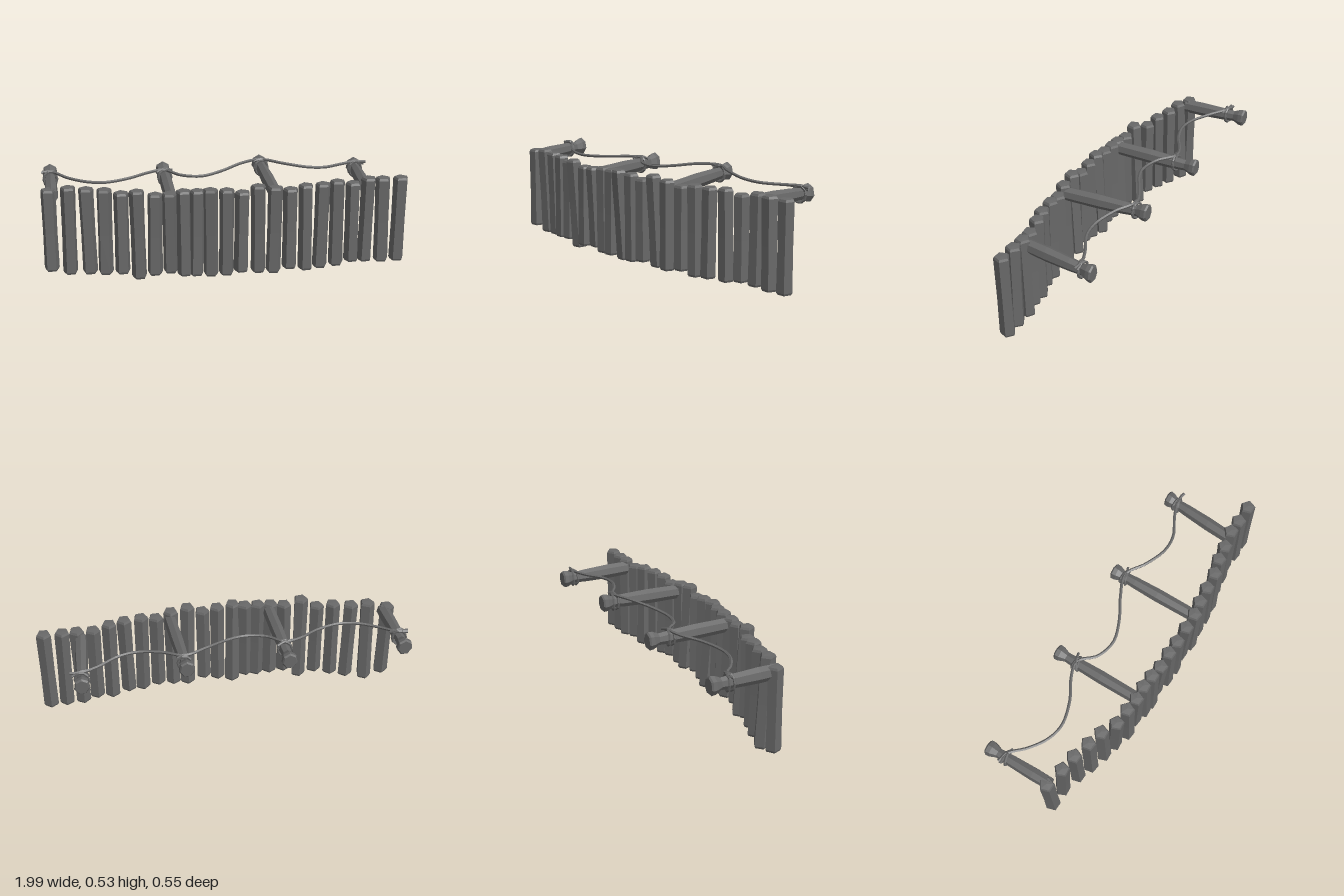
import * as THREE from 'three';

export function createModel() {
  const model = new THREE.Group();
  model.name = 'plankBridge';
  const wood = new THREE.MeshStandardMaterial({ color: 0x686868, flatShading: true });
  wood.name = 'greyWood';

  const add = (geometry, name, parent = model) => {
    const mesh = new THREE.Mesh(geometry, wood);
    mesh.name = name;
    parent.add(mesh);
    return mesh;
  };
  // Faceted turned shape from [radius, height] pairs
  const turned = (profile, sides, start = 0) => new THREE.LatheGeometry(
    profile.map(([r, y]) => new THREE.Vector2(r, y)), sides, start);
  const move = (geometry, rule) => {
    const p = geometry.attributes.position, v = new THREE.Vector3();
    for (let i = 0; i < p.count; i++) {
      rule(v.fromBufferAttribute(p, i));
      p.setXYZ(i, v.x, v.y, v.z);
    }
    geometry.computeVertexNormals();
    return geometry;
  };

  // Pentagonal logs in a curved row: x, top z, bottom z, bottom y, top y
  const logs = [
    [-0.953, 0.09, 0.095, 0.03, 0.495], [-0.85, 0.115, 0.09, 0.005, 0.512], [-0.75, 0.125, 0.12, 0.015, 0.505],
    [-0.66, 0.15, 0.15, 0.02, 0.505], [-0.57, 0.17, 0.175, 0.03, 0.49], [-0.485, 0.215, 0.185, 0.0, 0.512],
    [-0.395, 0.215, 0.215, 0.03, 0.49], [-0.315, 0.225, 0.205, 0.035, 0.495], [-0.24, 0.22, 0.22, 0.02, 0.505],
    [-0.172, 0.225, 0.225, 0.02, 0.505], [-0.098, 0.238, 0.205, 0.005, 0.512], [-0.012, 0.232, 0.225, 0.015, 0.505],
    [0.07, 0.232, 0.228, 0.03, 0.49], [0.16, 0.236, 0.21, 0.015, 0.522], [0.247, 0.23, 0.222, 0.015, 0.508],
    [0.335, 0.212, 0.212, 0.03, 0.49], [0.422, 0.205, 0.205, 0.015, 0.505], [0.51, 0.195, 0.195, 0.02, 0.505],
    [0.6, 0.17, 0.165, 0.015, 0.508], [0.69, 0.155, 0.155, 0.03, 0.49], [0.775, 0.138, 0.135, 0.02, 0.507],
    [0.86, 0.14, 0.14, 0.015, 0.505], [0.955, 0.14, 0.135, 0.015, 0.505],
  ];
  const row = new THREE.Group();
  row.name = 'logRow';
  model.add(row);
  logs.forEach(([x, zTop, zBottom, y0, y1], i) => {
    const r = 0.0425, lean = 0.004 * Math.sin(i * 2.3);
    const g = turned([[0, y0], [r * 0.85, y0], [r, y0 + 0.012], [r * 0.95, 0.25],
      [r, y1 - 0.014], [r * 0.85, y1 - 0.002], [0, y1]], 5, Math.PI + 0.12 * Math.sin(i * 1.7));
    move(g, (v) => {
      const t = (v.y - y0) / (y1 - y0);
      v.x += x + lean * (2 * t - 1);
      v.z += zBottom + (zTop - zBottom) * t;
    });
    add(g, 'log', row);
  });

  // Posts with a flared head, reaching backward: head x, foot x, foot z, head y, foot y, rope z
  const posts = [
    [-0.95, -0.935, 0.1, 0.465, 0.455, -0.17],
    [-0.318, -0.305, 0.2, 0.455, 0.45, -0.15],
    [0.233, 0.255, 0.21, 0.475, 0.452, -0.205],
    [0.785, 0.757, 0.13, 0.438, 0.452, -0.21],
  ];
  posts.forEach(([xHead, xFoot, zFoot, yHead, yFoot, zRope]) => {
    const head = -0.28, along = (z) => (zFoot - z) / (zFoot - head);
    const post = new THREE.Group();
    post.name = 'post';
    model.add(post);
    const g = turned([[0, -zFoot], [0.034, -zFoot], [0.036, 0.0], [0.032, 0.14], [0.027, 0.215],
      [0.041, 0.25], [0.043, 0.272], [0.036, 0.28], [0, 0.28]], 7);
    g.rotateX(-Math.PI / 2);
    move(g, (v) => {
      const t = along(v.z);
      v.x += xFoot + (xHead - xFoot) * t;
      v.y = v.y * 1.18 + yFoot + (yHead - yFoot) * t;
    });
    add(g, 'flaredPost', post);

    // Two turns of rope around the post
    [-0.007, 0.008].forEach((dz, k) => {
      const t = along(zRope);
      const loop = add(new THREE.TorusGeometry(0.037, 0.0075, 5, 10), 'ropeLoop', post);
      loop.scale.y = 1.18;
      loop.rotation.y = k ? 0.25 : -0.2;
      loop.position.set(xFoot + (xHead - xFoot) * t, yFoot + (yHead - yFoot) * t, zRope + dz);
    });
  });

  // Rope swagged from post to post, with loose ends
  const rope = (points, radius, name) => add(new THREE.TubeGeometry(
    new THREE.CatmullRomCurve3(points.map((p) => new THREE.Vector3(...p))),
    points.length * 4, radius, 5), name);
  rope([
    [-0.99, 0.5, -0.185], [-0.93, 0.5, -0.17], [-0.85, 0.488, -0.1], [-0.75, 0.482, -0.04],
    [-0.65, 0.48, -0.022], [-0.52, 0.485, -0.06], [-0.4, 0.492, -0.13], [-0.318, 0.496, -0.15],
    [-0.23, 0.487, -0.075], [-0.12, 0.485, -0.05], [-0.01, 0.497, -0.085], [0.12, 0.516, -0.16],
    [0.233, 0.518, -0.205], [0.35, 0.51, -0.145], [0.48, 0.496, -0.105], [0.58, 0.487, -0.115],
    [0.69, 0.482, -0.175], [0.78, 0.483, -0.21], [0.84, 0.48, -0.205],
  ], 0.0085, 'rope');
  rope([[-0.994, 0.5, -0.17], [-0.94, 0.504, -0.172], [-0.895, 0.49, -0.16]], 0.007, 'ropeEnd');
  rope([[-0.36, 0.487, -0.13], [-0.318, 0.5, -0.155], [-0.272, 0.487, -0.17]], 0.007, 'ropeEnd');
  rope([[0.19, 0.51, -0.195], [0.233, 0.52, -0.2], [0.278, 0.51, -0.215]], 0.007, 'ropeEnd');
  rope([[0.73, 0.477, -0.195], [0.785, 0.485, -0.205], [0.83, 0.465, -0.215]], 0.007, 'ropeEnd');

  return model;
}
